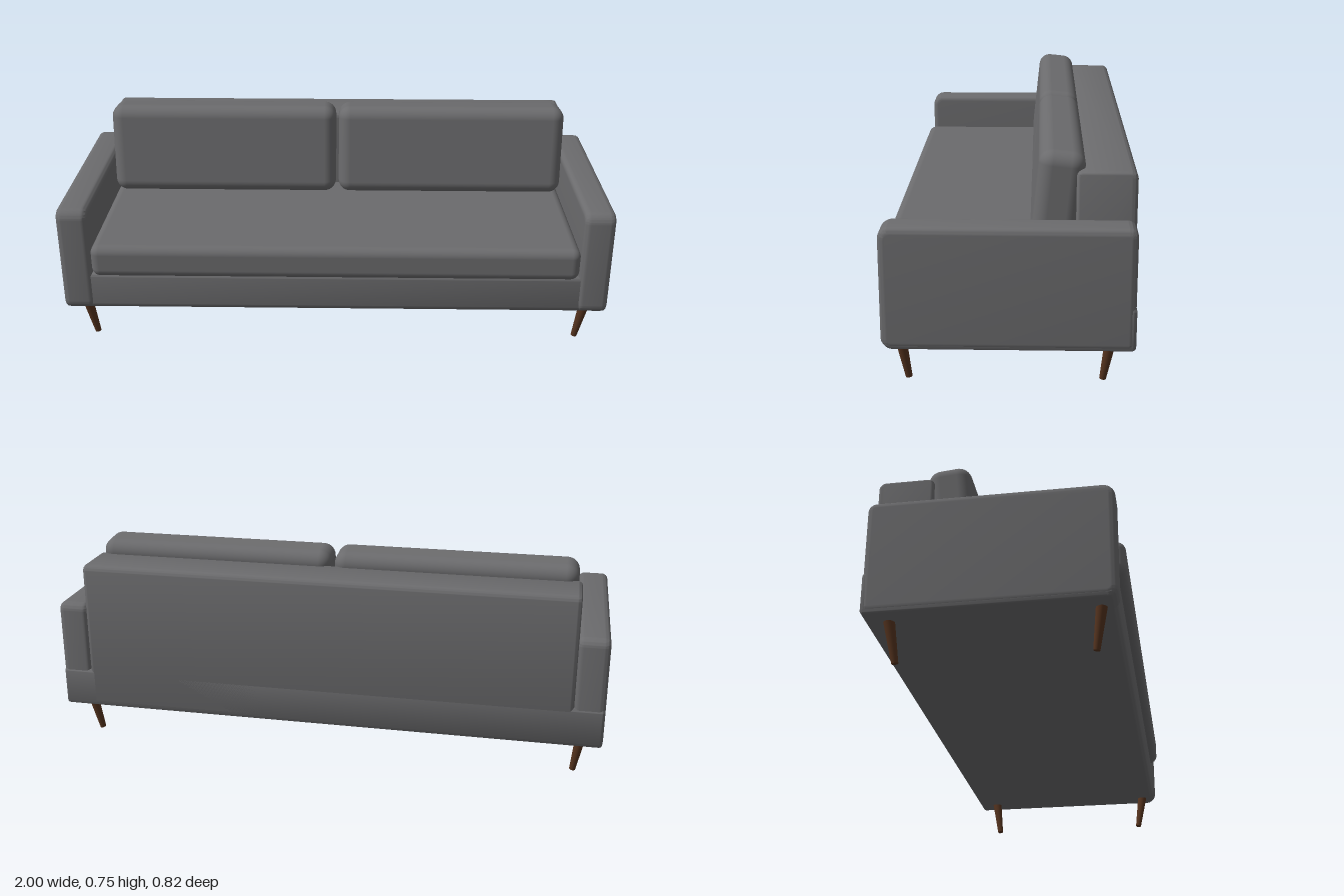
import * as THREE from 'three';
import { RoundedBoxGeometry } from 'three/addons/geometries/RoundedBoxGeometry.js';
import { toCreasedNormals } from 'three/addons/utils/BufferGeometryUtils.js';

const fabric = new THREE.MeshStandardMaterial({ name: 'grey fabric', color: 0x6b6b6d });
const wood = new THREE.MeshStandardMaterial({ name: 'dark wood', color: 0x56341f });

// Upholstered slab: a side profile with its own corner radii, bevelled across x.
// r = radii of [bottom back, bottom front, top front, top back].
function slab(name, [x0, x1], [y0, y1], [z0, z1], r, bevel) {
  const b = bevel;
  const [za, zb, ya, yb] = [z0 + b, z1 - b, y0 + b, y1 - b];
  const [bb, bf, tf, tb] = r.map((v) => Math.max(v - b, 0.002));
  const s = new THREE.Shape();
  s.moveTo(za + bb, ya);
  s.lineTo(zb - bf, ya);
  s.absarc(zb - bf, ya + bf, bf, -Math.PI / 2, 0);
  s.lineTo(zb, yb - tf);
  s.absarc(zb - tf, yb - tf, tf, 0, Math.PI / 2);
  s.lineTo(za + tb, yb);
  s.absarc(za + tb, yb - tb, tb, Math.PI / 2, Math.PI);
  s.lineTo(za, ya + bb);
  s.absarc(za + bb, ya + bb, bb, Math.PI, Math.PI * 1.5);
  const depth = x1 - x0 - 2 * b;
  const geo = new THREE.ExtrudeGeometry(s, {
    depth, curveSegments: 8, bevelThickness: b, bevelSize: b, bevelSegments: 6,
  });
  geo.translate(0, 0, -depth / 2).rotateY(-Math.PI / 2).translate((x0 + x1) / 2, 0, 0);
  const mesh = new THREE.Mesh(toCreasedNormals(geo, 0.7), fabric);
  mesh.name = name;
  return mesh;
}

// Soft cushion with evenly rounded edges
function cushion(name, w, h, d, radius, x, y, z) {
  const mesh = new THREE.Mesh(new RoundedBoxGeometry(w, h, d, 6, radius), fabric);
  mesh.name = name;
  mesh.position.set(x, y, z);
  return mesh;
}

// Tapered leg leaning in towards the middle as it goes down
function leg(name, sx, sz) {
  const top = new THREE.Vector3(sx * 0.926, 0.15, sz * 0.335);
  const foot = new THREE.Vector3(sx * 0.904, 0.002, sz * 0.313);
  const dir = top.clone().sub(foot);
  const mesh = new THREE.Mesh(new THREE.CylinderGeometry(0.019, 0.011, dir.length(), 20), wood);
  mesh.name = name;
  mesh.position.copy(top).add(foot).multiplyScalar(0.5);
  mesh.quaternion.setFromUnitVectors(new THREE.Vector3(0, 1, 0), dir.normalize());
  return mesh;
}

export function createModel() {
  const sofa = new THREE.Group();
  sofa.name = 'sofa';

  // Frame
  sofa.add(slab('base', [-0.998, 0.998], [0.136, 0.283], [-0.41, 0.383], [0.012, 0.03, 0.015, 0.015], 0.012));
  sofa.add(slab('backrest', [-0.893, 0.893], [0.14, 0.69], [-0.41, -0.22], [0.012, 0.012, 0.02, 0.025], 0.015));

  // Seat
  sofa.add(cushion('seatCushion', 1.77, 0.122, 0.63, 0.032, 0, 0.341, 0.094));

  for (const [side, s] of [['left', 1], ['right', -1]]) {
    // Armrest
    const xs = s > 0 ? [0.888, 1] : [-1, -0.888];
    sofa.add(slab(side + 'Armrest', xs, [0.137, 0.539], [-0.408, 0.39], [0.015, 0.035, 0.04, 0.03], 0.022));

    // Leaning back cushion
    const pad = cushion(side + 'BackCushion', 0.875, 0.345, 0.148, 0.045, s * 0.443, 0.573, -0.162);
    pad.rotation.x = -0.1;
    sofa.add(pad);

    // Legs
    sofa.add(leg(side + 'FrontLeg', s, 1), leg(side + 'BackLeg', s, -1));
  }
  return sofa;
}
